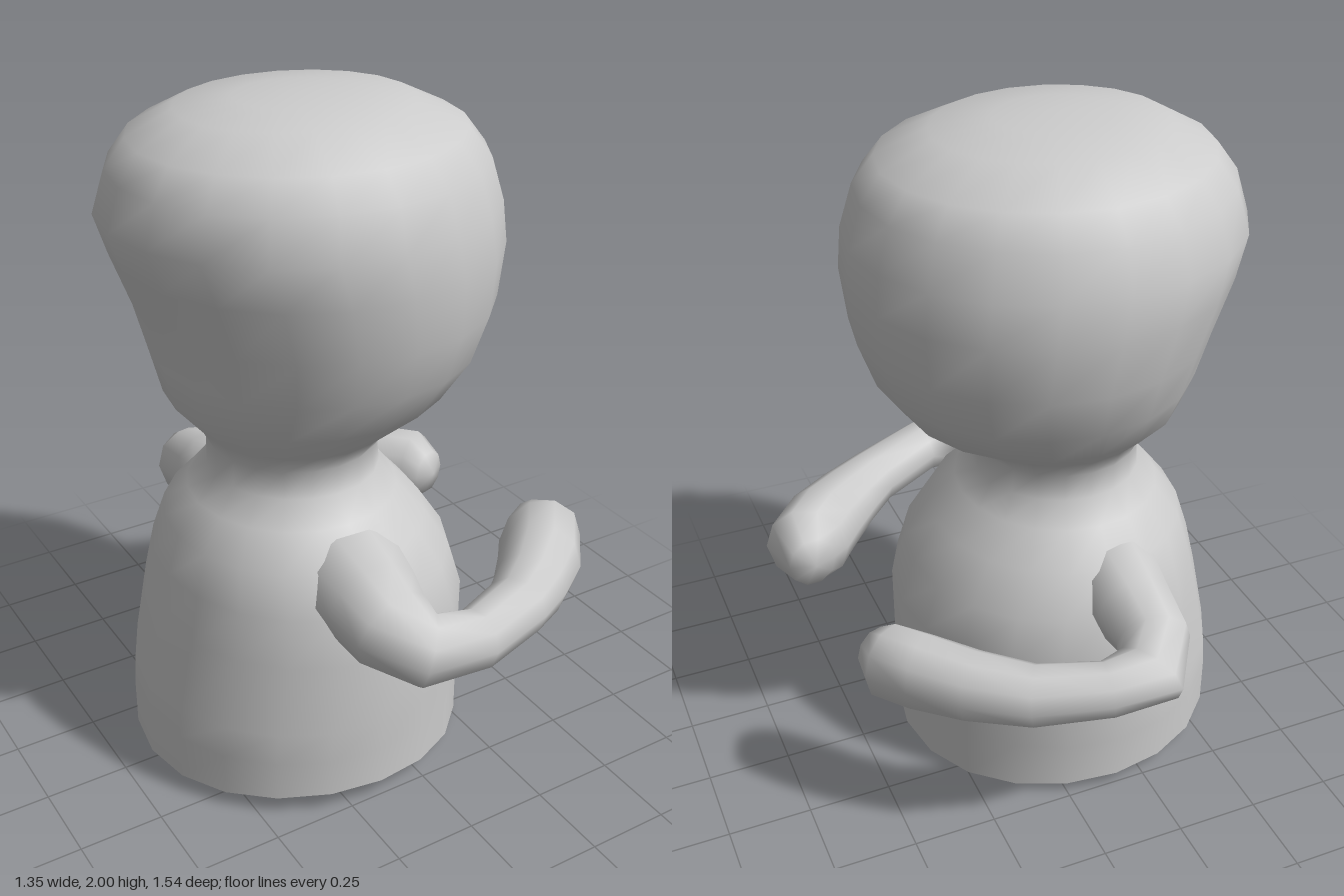
import * as THREE from 'three';

// Skin a list of equal-sized rings of points; an optional tip closes the end.
function skin(rings, tip) {
  const n = rings[0].length;
  const pos = [], idx = [];
  rings.forEach(r => r.forEach(p => pos.push(p.x, p.y, p.z)));
  for (let i = 0; i < rings.length - 1; i++) {
    for (let j = 0; j < n; j++) {
      const k = (j + 1) % n;
      const a = i * n + j, b = i * n + k, c = a + n, d = b + n;
      idx.push(a, c, b, b, c, d);
    }
  }
  if (tip) {
    const last = (rings.length - 1) * n, t = rings.length * n;
    pos.push(tip.x, tip.y, tip.z);
    for (let j = 0; j < n; j++) idx.push(last + j, t, last + (j + 1) % n);
  }
  const g = new THREE.BufferGeometry();
  g.setAttribute('position', new THREE.Float32BufferAttribute(pos, 3));
  g.setIndex(idx);
  g.computeVertexNormals();
  return g;
}

// Horizontal sections given as [y, xMin, xMax, zMin, zMax]
function bodyGeometry(sections, tip, sides = 20) {
  const rings = sections.map(([y, x0, x1, z0, z1], i) =>
    Array.from({ length: sides }, (_, j) => {
      const a = (j / sides) * Math.PI * 2, c = Math.cos(a), s = Math.sin(a);
      // the open hem is slightly wavy
      const wave = i === 0 ? -0.015 * c + 0.01 * s - 0.018 * Math.cos(2 * a) : 0;
      return new THREE.Vector3(
        (x0 + x1) / 2 + (x1 - x0) / 2 * c, y + wave, (z0 + z1) / 2 + (z1 - z0) / 2 * s);
    }));
  return skin(rings, tip);
}

// Arm swept along stations given as [x, y, z, half width, half height]
function armGeometry(stations, tip, sides = 10) {
  const up = new THREE.Vector3(0, 1, 0);
  const pts = stations.map(s => new THREE.Vector3(s[0], s[1], s[2]));
  pts.push(tip);
  const rings = stations.map(([, , , w, h], i) => {
    const t = pts[i + 1].clone().sub(pts[i]).normalize();
    if (i > 0) t.add(pts[i].clone().sub(pts[i - 1]).normalize()).normalize();
    const side = t.clone().cross(up).normalize();
    const top = side.clone().cross(t);
    return Array.from({ length: sides }, (_, j) => {
      const a = (j / sides) * Math.PI * 2;
      return pts[i].clone()
        .addScaledVector(side, w * Math.cos(a))
        .addScaledVector(top, h * Math.sin(a));
    });
  });
  return skin(rings, tip);
}

export function createModel() {
  const group = new THREE.Group();
  const material = new THREE.MeshStandardMaterial({ color: 0xcccccc, side: THREE.DoubleSide });
  const add = (name, geometry) => {
    const mesh = new THREE.Mesh(geometry, material);
    mesh.name = name;
    group.add(mesh);
  };

  // Torso, neck and head as one continuous surface, open at the hem
  add('bodyAndHead', bodyGeometry([
    [0.033, -0.66, 0.35, -0.505, 0.51],
    [0.18, -0.66, 0.35, -0.505, 0.51],
    [0.28, -0.652, 0.35, -0.505, 0.51],
    [0.50, -0.605, 0.35, -0.50, 0.505],
    [0.64, -0.572, 0.305, -0.47, 0.475],
    [0.76, -0.535, 0.225, -0.41, 0.42],
    [0.85, -0.465, 0.145, -0.32, 0.33],
    [0.92, -0.405, 0.095, -0.265, 0.27],
    [1.00, -0.40, 0.09, -0.26, 0.26],
    [1.06, -0.43, 0.14, -0.295, 0.30],
    [1.16, -0.515, 0.31, -0.41, 0.40],
    [1.28, -0.54, 0.395, -0.49, 0.465],
    [1.42, -0.575, 0.445, -0.535, 0.505],
    [1.58, -0.635, 0.465, -0.555, 0.525],
    [1.70, -0.675, 0.455, -0.542, 0.515],
    [1.82, -0.64, 0.415, -0.50, 0.485],
    [1.90, -0.58, 0.355, -0.44, 0.42],
    [1.97, -0.455, 0.21, -0.30, 0.28],
    [1.99, -0.30, 0.04, -0.15, 0.14],
  ], new THREE.Vector3(-0.13, 2, 0)));

  // Arm on the front side, bent at the elbow, with a blunt mitten end
  add('frontArm', armGeometry([
    [-0.16, 0.68, 0.34, 0.17, 0.16],
    [-0.165, 0.67, 0.47, 0.145, 0.14],
    [-0.17, 0.65, 0.57, 0.13, 0.125],
    [-0.12, 0.62, 0.67, 0.105, 0.105],
    [0.04, 0.595, 0.67, 0.085, 0.09],
    [0.25, 0.575, 0.58, 0.095, 0.092],
    [0.36, 0.565, 0.505, 0.11, 0.11],
    [0.47, 0.56, 0.41, 0.125, 0.132],
    [0.555, 0.56, 0.305, 0.13, 0.137],
    [0.565, 0.56, 0.215, 0.075, 0.085],
  ], new THREE.Vector3(0.56, 0.56, 0.19)));

  // Matching arm on the back side, slightly slimmer
  add('backArm', armGeometry([
    [-0.20, 0.67, -0.34, 0.14, 0.14],
    [-0.20, 0.65, -0.47, 0.12, 0.125],
    [-0.205, 0.625, -0.59, 0.107, 0.11],
    [-0.15, 0.59, -0.68, 0.11, 0.092],
    [-0.02, 0.575, -0.68, 0.08, 0.083],
    [0.17, 0.56, -0.61, 0.09, 0.09],
    [0.31, 0.55, -0.495, 0.10, 0.105],
    [0.42, 0.545, -0.38, 0.103, 0.12],
    [0.49, 0.545, -0.30, 0.10, 0.122],
    [0.508, 0.545, -0.235, 0.065, 0.075],
  ], new THREE.Vector3(0.515, 0.545, -0.215)));

  return group;
}
